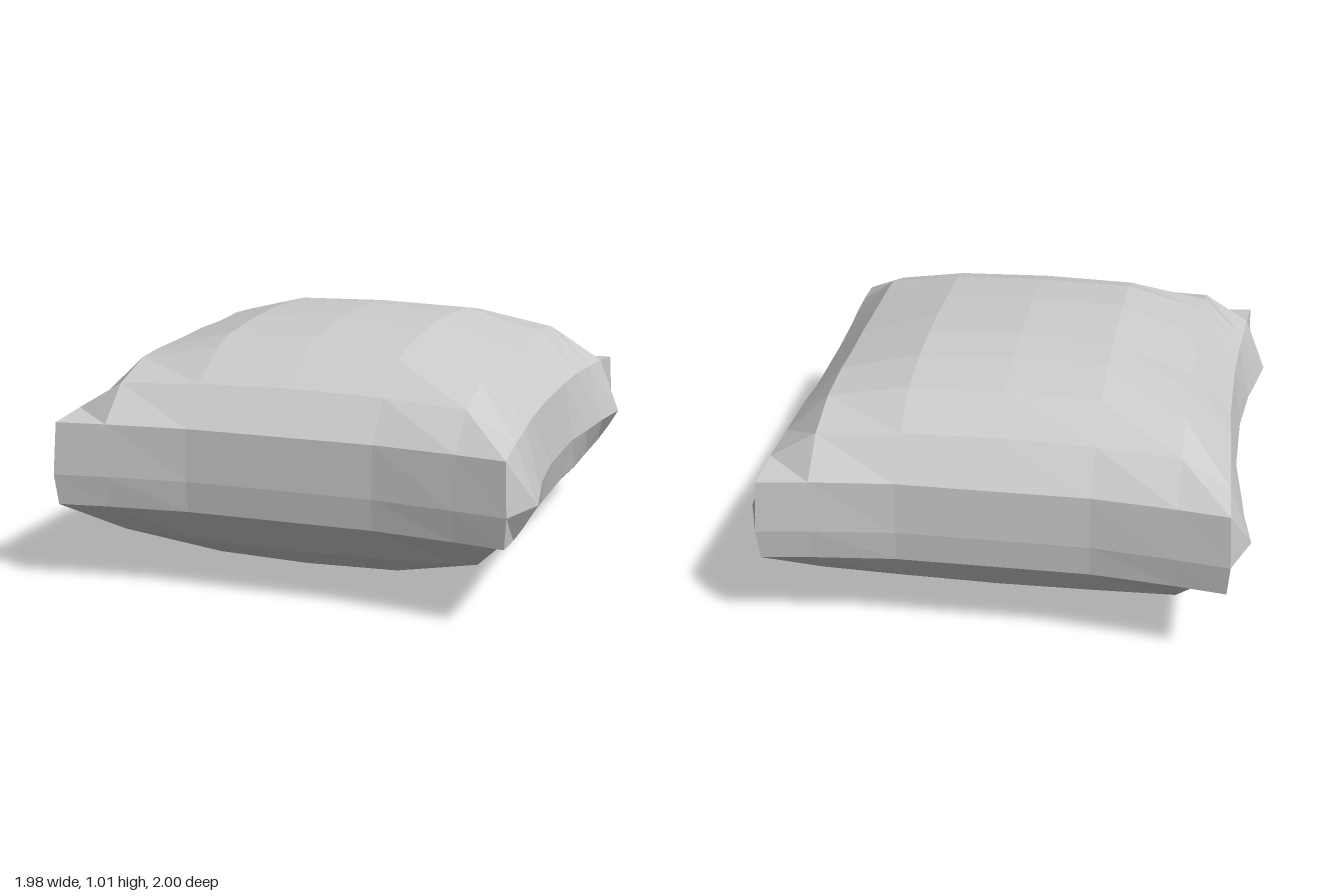
import * as THREE from 'three';

// Quarter tables, from the middle (index 0) out to the rim
const X = [0, 0.38, 0.71];
const Z = [0, 0.2, 0.47, 0.6];
const RIM_X = [0.87, 0.87, 0.88, 0.89, 0.9, 0.91];   // upper and lower rim, by z row
const SEAM_X = [0.905, 0.905, 0.93, 0.955, 0.99, 0.92]; // middle seam, by z row
const INNER_Z = [0.785, 0.79, 0.805, 0.8];           // row just inside the rim, by x column
const RIM_Z = [0.92, 0.92, 0.955, 0.985];
const SEAM_Z = [0.93, 0.93, 0.97, 1.0];
const HEIGHT = [                                     // top surface, [z row][x column]
  [1.02, 1.0, 0.895, 0.72],
  [1.015, 0.995, 0.89, 0.72],
  [0.985, 0.975, 0.888, 0.715],
  [0.95, 0.94, 0.88, 0.71],
  [0.84, 0.832, 0.815, 0.7],
  [0.68, 0.68, 0.68, 0.68],
];
const NX = 3, NZ = 5, FULL = 1.025, SEAM_Y = 0.47;

// Point of the pillow for signed column i and row j; layer is top, seam or bottom
function pillowPoint(i, j, layer) {
  const a = Math.abs(i), b = Math.abs(j);
  const seam = layer === 'seam';
  let x = a < NX ? X[a] : (seam ? SEAM_X : RIM_X)[b];
  let z = b < 4 ? Z[b] : b === 4 ? INNER_Z[a] : (seam ? SEAM_Z : RIM_Z)[a];
  let y = HEIGHT[b][a];
  if (j === -2) { z = 0.38; y += 0.008; }
  if (layer === 'bottom') y = FULL - y;
  if (seam) y = SEAM_Y;
  return [x * Math.sign(i), Math.max(0, y), z * Math.sign(j)];
}

function pillowGeometry() {
  const positions = [];
  const quad = (a, b, c, d) => positions.push(...a, ...b, ...c, ...a, ...c, ...d);

  // Upper and lower panels
  for (let i = -NX; i < NX; i++) {
    for (let j = -NZ; j < NZ; j++) {
      const corners = (layer) => [[i, j], [i, j + 1], [i + 1, j + 1], [i + 1, j]]
        .map(([u, v]) => pillowPoint(u, v, layer));
      quad(...corners('top'));
      quad(...corners('bottom').reverse());
    }
  }

  // Side band, two rows of faces meeting at the seam
  const ring = [];
  for (let j = -NZ; j < NZ; j++) ring.push([-NX, j]);
  for (let i = -NX; i < NX; i++) ring.push([i, NZ]);
  for (let j = NZ; j > -NZ; j--) ring.push([NX, j]);
  for (let i = NX; i > -NX; i--) ring.push([i, -NZ]);
  ring.forEach((p, k) => {
    const q = ring[(k + 1) % ring.length];
    for (const [up, down] of [['top', 'seam'], ['seam', 'bottom']]) {
      quad(pillowPoint(...p, up), pillowPoint(...p, down),
        pillowPoint(...q, down), pillowPoint(...q, up));
    }
  });

  const geometry = new THREE.BufferGeometry();
  geometry.setAttribute('position', new THREE.Float32BufferAttribute(positions, 3));
  geometry.computeVertexNormals();
  return geometry;
}

export function createModel() {
  const model = new THREE.Group();
  model.name = 'pillow';
  const material = new THREE.MeshStandardMaterial({ color: 0xcccccc, flatShading: true });
  const cushion = new THREE.Mesh(pillowGeometry(), material);
  cushion.name = 'cushion';
  model.add(cushion);
  return model;
}
